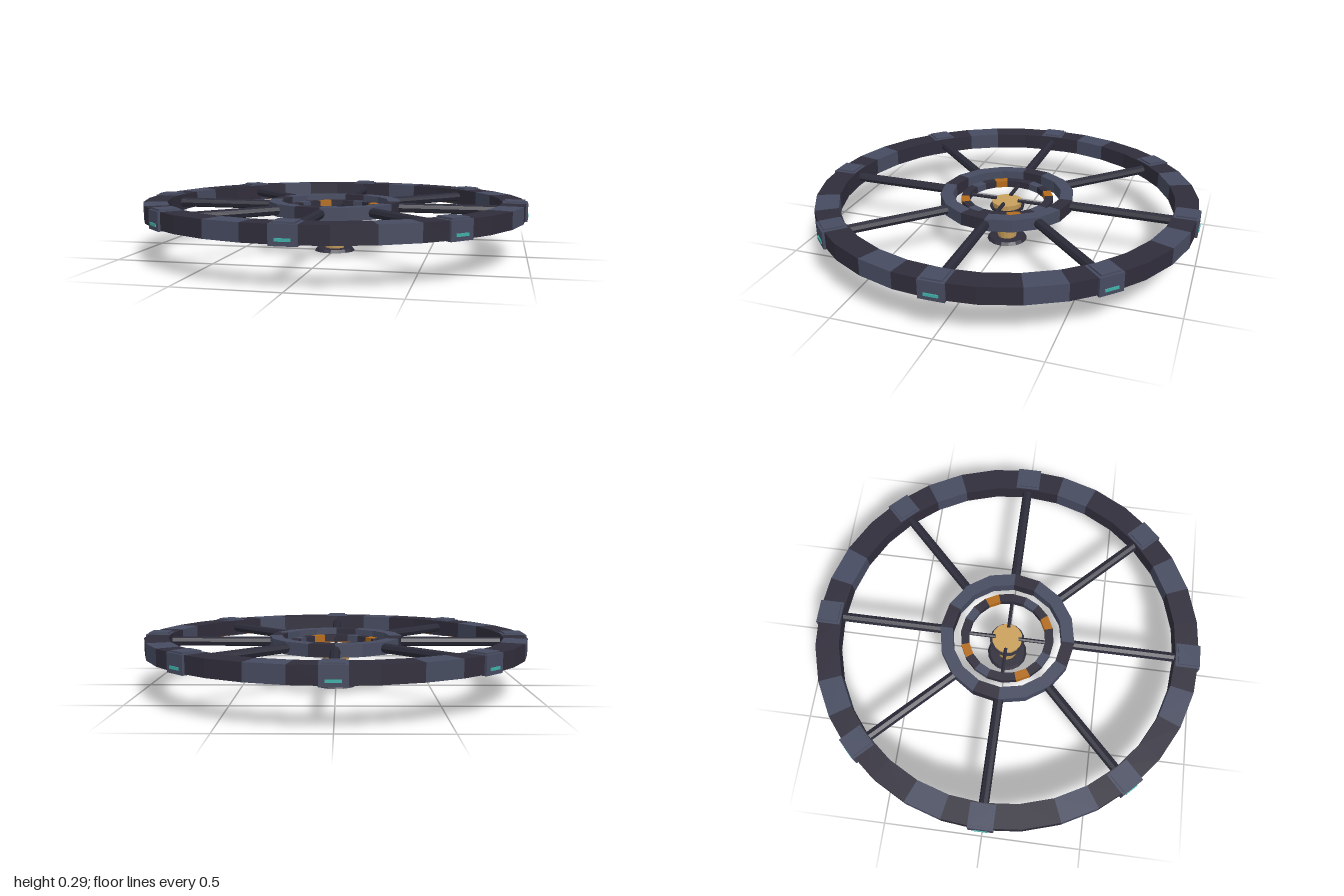
import * as THREE from 'three';

const mat = (name, color) => {
  const m = new THREE.MeshStandardMaterial({ color });
  m.name = name;
  return m;
};

// Faceted normals for crisp low-poly surfaces
const facet = (geo) => {
  const g = geo.index ? geo.toNonIndexed() : geo;
  g.computeVertexNormals();
  return g;
};

export function createModel() {
  const dark = mat('dark hull', 0x302d3b);
  const light = mat('light hull', 0x464b60);
  const strut = mat('strut metal', 0x2b2b39);
  const gold = mat('gold core', 0xc9a05c);
  const amber = mat('amber glow', 0xb36b1a);
  const teal = mat('teal window', 0x3fb0a8);
  const model = new THREE.Group();

  const add = (parent, name, geo, material, x = 0, y = 0, z = 0) => {
    const mesh = new THREE.Mesh(facet(geo), material);
    mesh.name = name;
    mesh.position.set(x, y, z);
    parent.add(mesh);
    return mesh;
  };

  // Rectangular-section ring; pick(i) gives the material index of each segment
  const ring = (name, rIn, rOut, y0, y1, n, mats, pick) => {
    const profile = [[rIn, y0], [rOut, y0], [rOut, y1], [rIn, y1], [rIn, y0]]
      .map(([x, y]) => new THREE.Vector2(x, y));
    const geo = new THREE.LatheGeometry(profile, n);
    for (let i = 0; i < n; i++) geo.addGroup(i * 24, 24, pick(i));
    return add(model, name, geo, mats);
  };

  // Outer rim with the glowing strip under it
  ring('outerRim', 0.87, 0.99, 0.195, 0.28, 32, [dark, light], (i) => (i % 4 === 2 ? 1 : 0));
  ring('rimGlowStrip', 0.905, 0.945, 0.187, 0.196, 32, [amber], () => 0);

  // Hub ring
  ring('hubRing', 0.285, 0.35, 0.205, 0.27, 16, [dark, light], (i) => (i % 4 === 3 ? 0 : 1));

  // Inner ring with amber panels and a thin glow strip below
  const innerPattern = [0, 2, 0, 1, 0];
  ring('innerRing', 0.2, 0.243, 0.21, 0.245, 20, [dark, light, amber], (i) => innerPattern[i % 5]);
  ring('innerGlowStrip', 0.215, 0.23, 0.203, 0.211, 20, [amber], () => 0);

  // Eight spokes, each ending in a docking pod
  for (let i = 0; i < 8; i++) {
    const arm = new THREE.Group();
    arm.name = 'spokeAndPod';
    arm.rotation.y = (i * Math.PI) / 4;
    const spoke = new THREE.CylinderGeometry(0.025, 0.025, 0.56, 8);
    spoke.rotateX(Math.PI / 2);
    add(arm, 'spoke', spoke, strut, 0, 0.238, 0.61);
    add(arm, 'podBody', new THREE.BoxGeometry(0.125, 0.092, 0.123), light, 0, 0.236, 0.934);
    add(arm, 'podCap', new THREE.BoxGeometry(0.1, 0.008, 0.1), light, 0, 0.286, 0.934);
    add(arm, 'podWindow', new THREE.BoxGeometry(0.07, 0.014, 0.006), teal, 0, 0.217, 0.997);
    model.add(arm);
  }

  // Four thin struts from the core to the inner ring
  for (let i = 0; i < 4; i++) {
    const geo = new THREE.CylinderGeometry(0.01, 0.01, 0.15, 6);
    geo.rotateX(Math.PI / 2);
    geo.translate(0, 0.225, 0.135);
    add(model, 'innerStrut', geo, strut).rotation.y = (i * Math.PI) / 2;
  }

  // Tapered core, collar and foot
  add(model, 'core', new THREE.CylinderGeometry(0.08, 0.05, 0.205, 16), gold, 0, 0.1175, 0);
  add(model, 'coreCollar', new THREE.CylinderGeometry(0.092, 0.088, 0.012, 16), strut, 0, 0.186, 0);
  add(model, 'foot', new THREE.CylinderGeometry(0.095, 0.107, 0.016, 16), dark, 0, 0.008, 0);

  return model;
}
